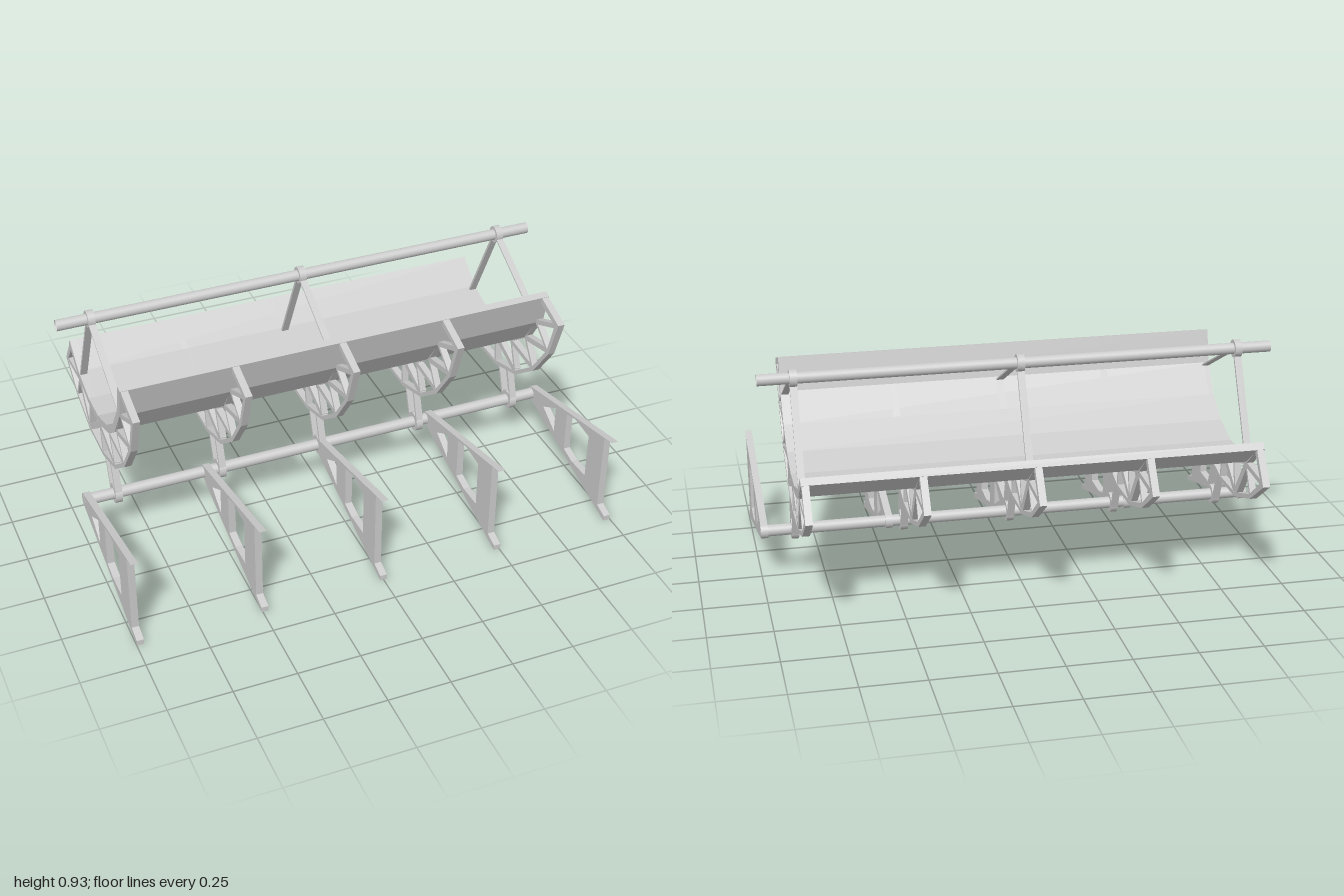
import * as THREE from 'three';

const material = new THREE.MeshStandardMaterial({ color: 0xcccccc });
const openMaterial = new THREE.MeshStandardMaterial({ color: 0xcccccc, side: THREE.DoubleSide });

const PLATE = 0.028; // thickness of all flat parts along x
const PIPE = [-0.022, 0.205]; // pivot pipe axis (z, y)
const TUBE = [-0.225, 0.898]; // receiver tube axis (z, y)
const FRAME_X = [-0.865, -0.4325, 0, 0.4325, 0.865];
const SUPPORT_X = [-0.985, -0.491, 0, 0.491, 0.985];
const HANGER_X = [-0.865, 0, 0.865];

const vecs = (points) => points.map(([z, y]) => new THREE.Vector2(z, y));

// Side profile drawn in (z, y), extruded along x and centred
function extrudeSide(shape, width) {
  const g = new THREE.ExtrudeGeometry(shape, { depth: width, bevelEnabled: false, curveSegments: 24 });
  g.translate(0, 0, -width / 2);
  g.rotateY(-Math.PI / 2);
  return g;
}

function add(parent, name, geometry, mat = material) {
  const mesh = new THREE.Mesh(geometry, mat);
  mesh.name = name;
  parent.add(mesh);
  return mesh;
}

// Flat bar between two (z, y) points
function bar(parent, name, [z1, y1], [z2, y2], thickness, width = PLATE) {
  const g = new THREE.BoxGeometry(width, thickness, Math.hypot(z2 - z1, y2 - y1));
  const mesh = add(parent, name, g);
  mesh.position.set(0, (y1 + y2) / 2, (z1 + z2) / 2);
  mesh.rotation.x = -Math.atan2(y2 - y1, z2 - z1);
}

function ring(parent, name, [z, y], outer, inner) {
  const shape = new THREE.Shape().absarc(z, y, outer, 0, Math.PI * 2);
  shape.holes.push(new THREE.Path().absarc(z, y, inner, 0, Math.PI * 2, true));
  add(parent, name, extrudeSide(shape, PLATE));
}

function pipe(parent, name, [z, y], radius, open) {
  const g = new THREE.CylinderGeometry(radius, radius, 2, 32, 1, open).rotateZ(Math.PI / 2);
  add(parent, name, g, open ? openMaterial : material).position.set(0, y, z);
}

// Trough curve, front lip to back lip, and the outer chord of the ribs
const TROUGH = [[0.184, 0.85], [0.15, 0.72], [0.072, 0.608], [-0.031, 0.532],
  [-0.16, 0.491], [-0.287, 0.491], [-0.423, 0.532], [-0.532, 0.618]];
const CHORD = [[-0.635, 0.474], [-0.495, 0.372], [-0.324, 0.314], [-0.133, 0.314],
  [0.041, 0.369], [0.184, 0.478], [0.294, 0.625], [0.355, 0.795]];

// Inner and outer nodes of the rib lattice
const IN = [[0.205, 0.816], [0.177, 0.71], [0.102, 0.59], [-0.014, 0.502],
  [-0.155, 0.45], [-0.293, 0.45], [-0.432, 0.492], [-0.529, 0.577]];
const OUT = [[-0.604, 0.481], [-0.488, 0.389], [-0.321, 0.331], [-0.14, 0.331],
  [0.031, 0.382], [0.171, 0.488], [0.28, 0.635], [0.326, 0.778]];

// Lattice bars: inner node, outer node, thickness
const LATTICE = [[1, 7, 0.02], [1, 6, 0.013], [2, 6, 0.023], [2, 5, 0.013], [3, 5, 0.021],
  [3, 4, 0.013], [4, 4, 0.027], [4, 3, 0.013], [4, 2, 0.027], [5, 2, 0.013],
  [6, 2, 0.029], [6, 1, 0.013], [6, 0, 0.021]];

function makeRib() {
  const rib = new THREE.Group();
  rib.name = 'rib';
  const shape = new THREE.Shape(vecs([...TROUGH, ...CHORD]));
  shape.holes.push(new THREE.Path(vecs([...IN, ...OUT])));
  add(rib, 'ribRim', extrudeSide(shape, PLATE));
  for (const [i, o, t] of LATTICE) bar(rib, 'latticeBar', IN[i], OUT[o], t, PLATE - 0.002);
  // Clamp on the pivot pipe with two legs up to the rib
  ring(rib, 'pivotClamp', PIPE, 0.04, 0.022);
  bar(rib, 'pivotLeg', [0.008, 0.228], [-0.03, 0.348], 0.011);
  bar(rib, 'pivotLeg', [-0.058, 0.2], [-0.102, 0.325], 0.011);
  return rib;
}

// Thin sheet following the trough curve
function makeReflector() {
  const t = 0.03;
  const p = vecs(TROUGH);
  const back = p.map((v, i) => {
    const normals = [[i - 1, i], [i, i + 1]]
      .filter(([a, b]) => a >= 0 && b < p.length)
      .map(([a, b]) => {
        const d = p[b].clone().sub(p[a]).normalize();
        return new THREE.Vector2(-d.y, d.x).negate();
      });
    const m = normals.reduce((s, n) => s.clone().add(n)).normalize();
    return v.clone().addScaledVector(m, t / m.dot(normals[0]));
  });
  // Keep the sheet on the underside of the curve
  if (back[4].y > p[4].y) back.forEach((v, i) => v.lerp(p[i], 2));
  return extrudeSide(new THREE.Shape([...p, ...back.reverse()]), 1.764);
}

// Wedge-shaped stand with a rounded nose around the pivot pipe
function makeSupport() {
  const a = THREE.MathUtils.degToRad(104.5);
  const shape = new THREE.Shape();
  shape.moveTo(0.638, 0.41);
  shape.absarc(-0.02, PIPE[1], 0.03, a, Math.PI * 2 - a, false);
  for (const [z, y] of [[0.638, 0], [0.638, 0.022], [0.58, 0.04], [0.58, 0.372], [0.638, 0.389]]) {
    shape.lineTo(z, y);
  }
  shape.holes.push(new THREE.Path(vecs([[0.464, 0.304], [0.352, 0.314], [0.283, 0.294],
    [0.283, 0.119], [0.352, 0.102], [0.464, 0.106]])));
  shape.holes.push(new THREE.Path(vecs([[0.191, 0.264], [0.089, 0.206], [0.191, 0.148]])));
  return extrudeSide(shape, PLATE);
}

// Ring around the receiver tube held by two thin stays
function makeHanger() {
  const hanger = new THREE.Group();
  hanger.name = 'receiverHanger';
  ring(hanger, 'receiverRing', TUBE, 0.034, 0.022);
  bar(hanger, 'frontStay', [-0.195, 0.887], [0.15, 0.708], 0.006);
  bar(hanger, 'backStay', [-0.241, 0.868], [-0.412, 0.525], 0.01);
  return hanger;
}

export function createModel() {
  const model = new THREE.Group();
  model.name = 'troughCollector';

  add(model, 'reflector', makeReflector());
  pipe(model, 'receiverTube', TUBE, 0.022, true);
  pipe(model, 'pivotPipe', PIPE, 0.023, false);

  for (const x of FRAME_X) {
    const rib = makeRib();
    rib.position.x = x;
    model.add(rib);
  }
  for (const x of HANGER_X) {
    const hanger = makeHanger();
    hanger.position.x = x;
    model.add(hanger);
  }
  const support = makeSupport();
  for (const x of SUPPORT_X) add(model, 'support', support).position.x = x;

  return model;
}
